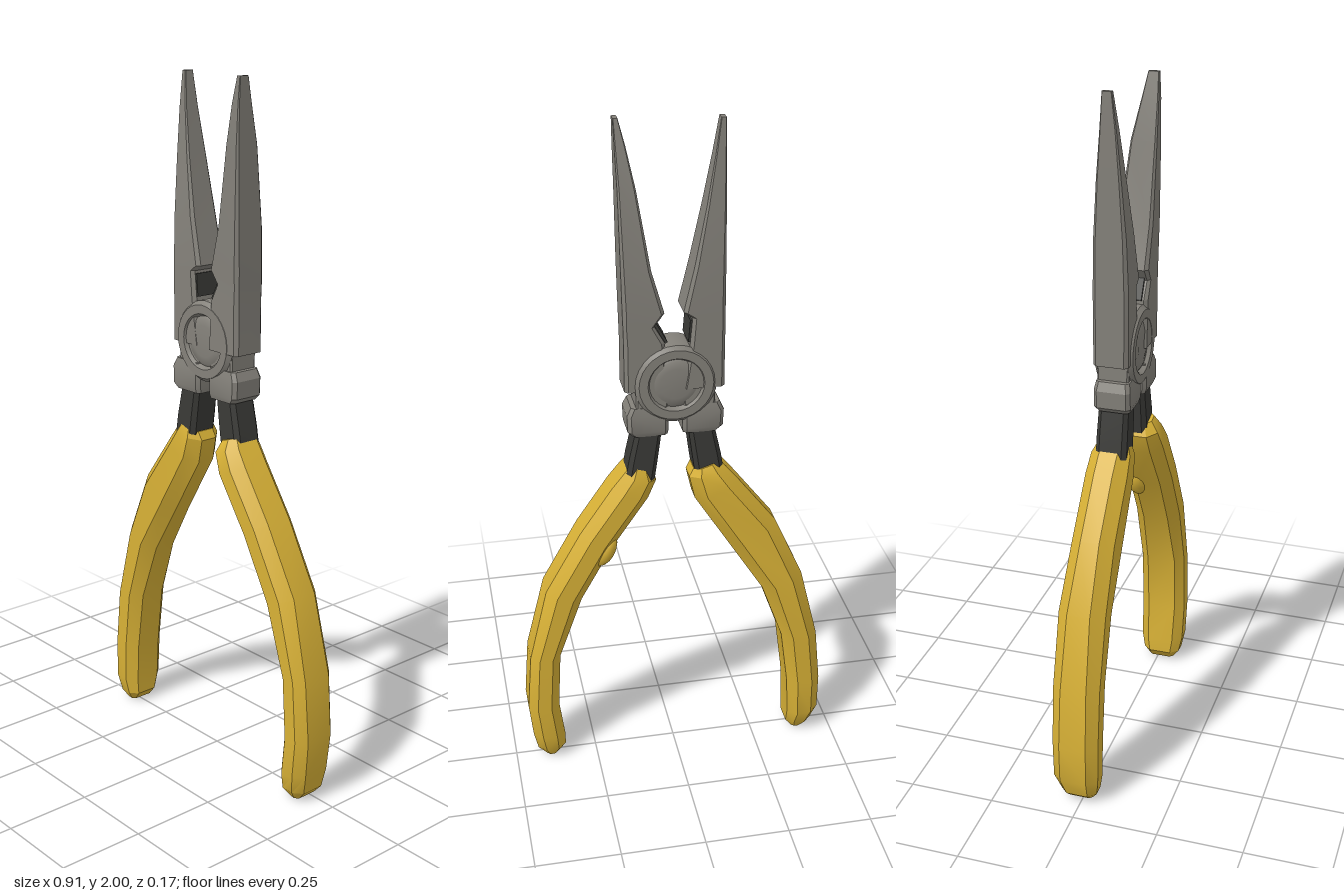
import * as THREE from 'three';
import { toCreasedNormals } from 'three/addons/utils/BufferGeometryUtils.js';

const yellow = new THREE.MeshStandardMaterial({ color: 0xd8b136 });
yellow.name = 'yellow grip';
const steel = new THREE.MeshStandardMaterial({ color: 0x84817a });
steel.name = 'grey steel';
const dark = new THREE.MeshStandardMaterial({ color: 0x3a3a37 });
dark.name = 'dark steel';

// Loft of bevelled rectangles; each section is [outerX, outerY, innerX, innerY, backZ, frontZ]
function loft(sections, bevel, crease = 0.45) {
  const pos = [], idx = [], n = 8;
  for (const [ox, oy, ix, iy, z0, z1] of sections) {
    const w = Math.hypot(ix - ox, iy - oy);
    const d = Math.min(w, z1 - z0) * bevel, b = d / w;
    const ring = [[0, z0 + d], [0, z1 - d], [b, z1], [1 - b, z1],
      [1, z1 - d], [1, z0 + d], [1 - b, z0], [b, z0]];
    for (const [t, z] of ring) pos.push(ox + (ix - ox) * t, oy + (iy - oy) * t, z);
  }
  for (let s = 0; s < sections.length - 1; s++) {
    for (let k = 0; k < n; k++) {
      const a = s * n + k, b = s * n + (k + 1) % n;
      idx.push(a, b, b + n, a, b + n, a + n);
    }
  }
  const last = (sections.length - 1) * n;
  for (let k = 1; k < n - 1; k++) {
    idx.push(0, k + 1, k, last, last + k, last + k + 1);
  }
  // Turn the faces outward if the signed volume is negative
  const v = (i) => new THREE.Vector3().fromArray(pos, i * 3);
  let volume = 0;
  for (let i = 0; i < idx.length; i += 3) {
    volume += v(idx[i]).dot(v(idx[i + 1]).cross(v(idx[i + 2])));
  }
  if (volume < 0) idx.reverse();
  const g = new THREE.BufferGeometry();
  g.setAttribute('position', new THREE.Float32BufferAttribute(pos, 3));
  g.setIndex(idx);
  return toCreasedNormals(g, crease);
}

// Horizontal section
const level = (y, outer, inner, z0, z1) => [outer, y, inner, y, z0, z1];

export function createModel() {
  const model = new THREE.Group();
  const add = (name, geometry, material) => {
    const mesh = new THREE.Mesh(geometry, material);
    mesh.name = name;
    model.add(mesh);
    return mesh;
  };

  // Long tapered jaws, each with a cutter notch above the pivot
  add('rightJaw', loft([
    level(1.25, -0.138, -0.02, -0.05, 0.05),
    level(1.38, -0.138, -0.04, -0.05, 0.05),
    level(1.46, -0.138, -0.047, -0.05, 0.05),
    level(1.477, -0.138, -0.022, -0.05, 0.05),
    level(1.61, -0.138, -0.053, -0.047, 0.045),
    level(1.77, -0.138, -0.085, -0.037, 0.032),
    level(1.9, -0.138, -0.108, -0.026, 0.02),
    level(2.0, -0.137, -0.123, -0.019, 0.008),
  ], 0.1, 0.3), steel);
  add('leftJaw', loft([
    level(1.25, 0.143, 0.02, -0.045, 0.055),
    level(1.39, 0.143, 0.03, -0.045, 0.055),
    level(1.44, 0.144, 0.058, -0.045, 0.055),
    level(1.477, 0.145, 0.03, -0.045, 0.056),
    level(1.6, 0.147, 0.065, -0.04, 0.058),
    level(1.82, 0.149, 0.1, -0.016, 0.058),
    level(1.93, 0.151, 0.122, 0.008, 0.056),
    level(2.0, 0.152, 0.139, 0.022, 0.052),
  ], 0.1, 0.3), steel);

  // Dark cutter faces inside the notch
  for (const [name, x, tilt] of [['rightCutter', -0.042, 0.08], ['leftCutter', 0.041, -0.5]]) {
    const cutter = add(name, new THREE.BoxGeometry(0.008, 0.065, 0.08), dark);
    cutter.position.set(x, 1.42, 0);
    cutter.rotation.z = tilt;
  }

  // Round pivot with a raised rim and a dished rivet on both faces
  const pivotProfile = [
    [0, -0.046], [0.045, -0.048], [0.066, -0.044], [0.072, -0.04], [0.08, -0.054],
    [0.105, -0.054], [0.116, -0.044], [0.116, 0.044], [0.105, 0.056], [0.08, 0.056],
    [0.072, 0.042], [0.066, 0.046], [0.045, 0.05], [0, 0.047],
  ].map(([r, z]) => new THREE.Vector2(r, z));
  const pivotGeometry = toCreasedNormals(new THREE.LatheGeometry(pivotProfile, 28), 0.5);
  pivotGeometry.rotateX(Math.PI / 2);
  const pivot = add('pivot', pivotGeometry, steel);
  pivot.position.set(0, 1.267, 0);

  for (const [side, s] of [['right', -1], ['left', 1]]) {
    // Narrow waist between the jaw and the collar
    add(side + 'Waist', loft([
      level(1.17, s * 0.112, s * 0.022, -0.045, 0.045),
      level(1.27, s * 0.112, s * 0.022, -0.045, 0.045),
    ], 0.05), steel);
    // Collar block above the handle
    add(side + 'Collar', loft([
      level(1.11, s * 0.122, s * 0.022, -0.044, 0.05),
      level(1.125, s * 0.136, s * 0.02, -0.05, 0.055),
      level(1.175, s * 0.138, s * 0.02, -0.05, 0.055),
      level(1.2, s * 0.126, s * 0.02, -0.046, 0.05),
    ], 0.1), steel);
    // Dark tang running into the grip
    add(side + 'Tang', loft([
      level(0.96, s * 0.145, s * 0.06, -0.045, 0.045),
      level(1.03, s * 0.133, s * 0.05, -0.045, 0.045),
      level(1.12, s * 0.113, s * 0.038, -0.043, 0.043),
    ], 0.15), dark);
  }

  // Curved grips, offset to opposite sides in depth
  add('rightGrip', loft([
    [-0.125, 1.008, -0.055, 0.985, -0.05, 0.045],
    [-0.148, 0.985, -0.042, 0.96, -0.062, 0.052],
    [-0.185, 0.94, -0.058, 0.89, -0.068, 0.054],
    [-0.3, 0.79, -0.17, 0.71, -0.07, 0.054],
    [-0.385, 0.6, -0.265, 0.56, -0.084, 0.054],
    [-0.44, 0.375, -0.33, 0.38, -0.084, 0.054],
    [-0.457, 0.2, -0.354, 0.2, -0.083, 0.054],
    [-0.457, 0.085, -0.36, 0.075, -0.08, 0.053],
    [-0.438, 0.03, -0.36, 0.03, -0.062, 0.045],
    [-0.41, 0.004, -0.38, 0.004, -0.045, 0.028],
  ], 0.28), yellow);
  add('leftGrip', loft([
    [0.128, 1.012, 0.07, 0.995, -0.045, 0.055],
    [0.148, 0.985, 0.054, 0.96, -0.055, 0.075],
    [0.182, 0.94, 0.078, 0.9, -0.056, 0.084],
    [0.278, 0.8, 0.185, 0.745, -0.056, 0.084],
    [0.385, 0.61, 0.28, 0.575, -0.056, 0.084],
    [0.442, 0.38, 0.352, 0.38, -0.056, 0.084],
    [0.456, 0.2, 0.362, 0.2, -0.056, 0.084],
    [0.445, 0.09, 0.347, 0.08, -0.054, 0.082],
    [0.432, 0.03, 0.346, 0.035, -0.045, 0.072],
    [0.405, 0.0, 0.37, 0.004, -0.028, 0.05],
  ], 0.28), yellow);

  // Small thumb bump on the inside of the left grip
  const bump = add('gripBump', new THREE.SphereGeometry(1, 12, 8), yellow);
  bump.scale.set(0.03, 0.055, 0.03);
  bump.position.set(0.207, 0.735, -0.024);
  bump.rotation.z = 0.5;

  return model;
}
